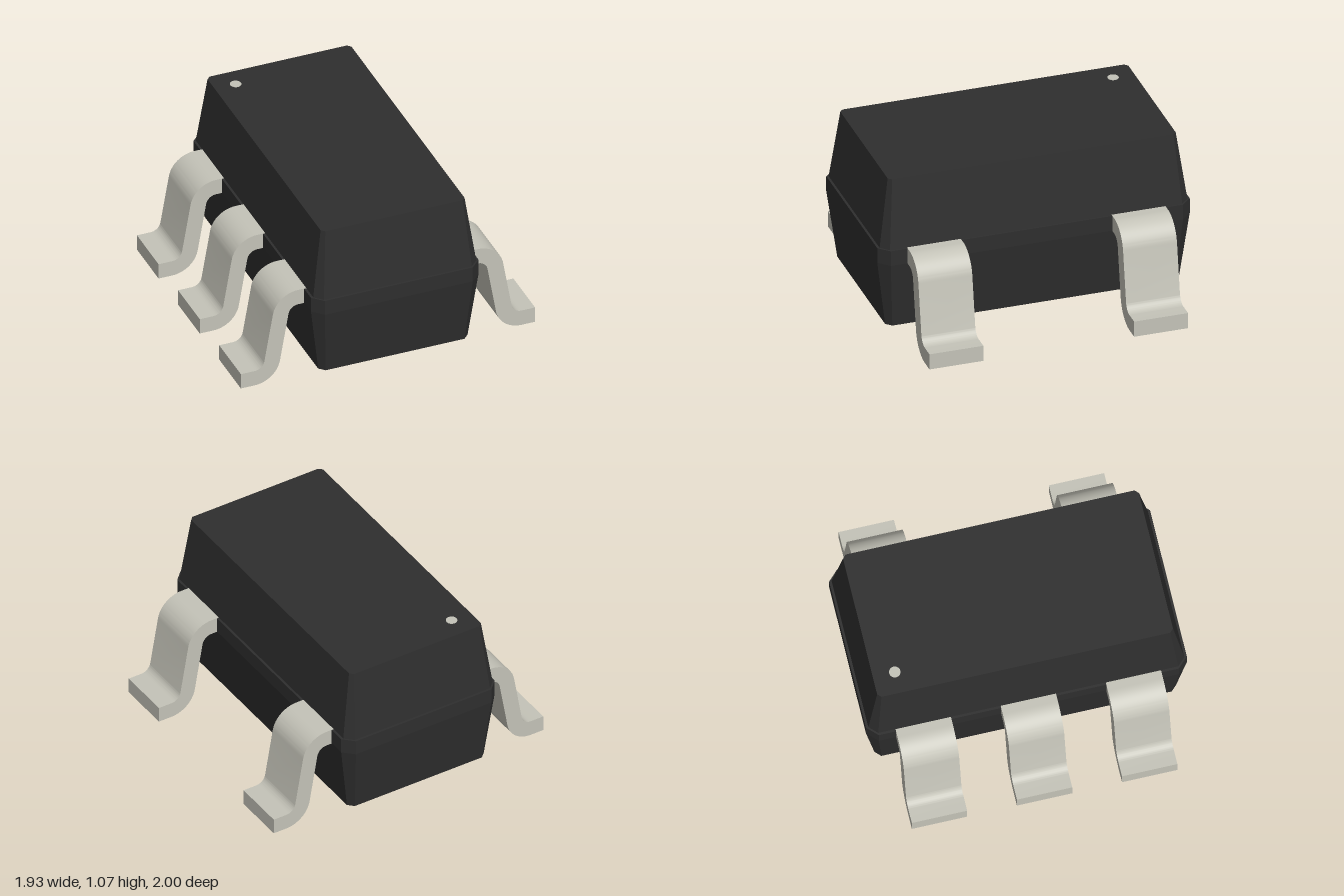
import * as THREE from 'three';
import { toCreasedNormals } from 'three/addons/utils/BufferGeometryUtils.js';

// Chamfered rectangle sections [y, half x, half z, corner cut], stacked bottom to top.
function stackSections(sections) {
  const pos = [], index = [];
  for (const [y, x, z, c] of sections) {
    const corners = [
      [x, z - c], [x, c - z], [x - c, -z], [c - x, -z],
      [-x, c - z], [-x, z - c], [c - x, z], [x - c, z],
    ];
    for (const [px, pz] of corners) pos.push(px, y, pz);
  }
  for (let s = 0; s < sections.length - 1; s++) {
    for (let i = 0; i < 8; i++) {
      const a = s * 8 + i, b = s * 8 + (i + 1) % 8;
      index.push(a, b, b + 8, a, b + 8, a + 8);
    }
  }
  const top = (sections.length - 1) * 8;
  for (let i = 1; i < 7; i++) {
    index.push(0, i + 1, i);
    index.push(top, top + i, top + i + 1);
  }
  const indexed = new THREE.BufferGeometry();
  indexed.setAttribute('position', new THREE.Float32BufferAttribute(pos, 3));
  indexed.setIndex(index);
  const geometry = indexed.toNonIndexed();
  geometry.computeVertexNormals();
  return geometry;
}

// Gull-wing strip: shoulder bend, sloped shank, foot bend.
function leadGeometry(width) {
  const top = 0.622, thick = 0.104, tilt = THREE.MathUtils.degToRad(10);
  const outer = 0.17, inner = outer - thick;
  const ax = 0.588, ay = top - outer; // shoulder bend centre
  const bx = 0.876, by = outer;       // foot bend centre
  const up = Math.PI / 2, down = -Math.PI / 2;
  const shape = new THREE.Shape();
  shape.moveTo(0.536, top);
  shape.lineTo(ax, top);
  shape.absarc(ax, ay, outer, up, tilt, true);
  shape.absarc(bx, by, inner, Math.PI + tilt, Math.PI * 1.5, false);
  shape.lineTo(0.965, thick);
  shape.lineTo(0.965, 0);
  shape.lineTo(bx, 0);
  shape.absarc(bx, by, outer, down, tilt - Math.PI, true);
  shape.absarc(ax, ay, inner, tilt, up, false);
  shape.lineTo(0.536, top - thick);
  const geometry = new THREE.ExtrudeGeometry(shape, { depth: width, bevelEnabled: false, curveSegments: 12 });
  geometry.translate(0, 0, -width / 2);
  return toCreasedNormals(geometry, 0.5);
}

export function createModel() {
  const group = new THREE.Group();
  const plastic = new THREE.MeshStandardMaterial({ color: 0x2e2e2e });
  plastic.name = 'black plastic';
  const metal = new THREE.MeshStandardMaterial({ color: 0xc4c3b8 });
  metal.name = 'tinned metal';

  const add = (name, geometry, material) => {
    const mesh = new THREE.Mesh(geometry, material);
    mesh.name = name;
    group.add(mesh);
    return mesh;
  };

  // Moulded case with a small ledge at the parting line
  add('case', stackSections([
    [0.073, 0.49, 0.94, 0.035],
    [0.52, 0.55, 1.0, 0.065],
    [0.62, 0.55, 1.0, 0.065],
    [0.62, 0.535, 0.985, 0.05],
    [1.07, 0.472, 0.922, 0.022],
  ]), plastic);

  // Orientation dot on the top face
  const dot = add('orientationDot', new THREE.CylinderGeometry(0.035, 0.035, 0.006, 32), metal);
  dot.position.set(-0.335, 1.07, -0.785);

  // Two leads on the left, three on the right
  const lead = leadGeometry(0.345);
  for (const z of [-0.655, 0.655]) add('leftLead', lead, metal).position.z = z;
  for (const z of [-0.655, 0, 0.655]) {
    const mesh = add('rightLead', lead, metal);
    mesh.rotation.y = Math.PI;
    mesh.position.z = z;
  }
  return group;
}
